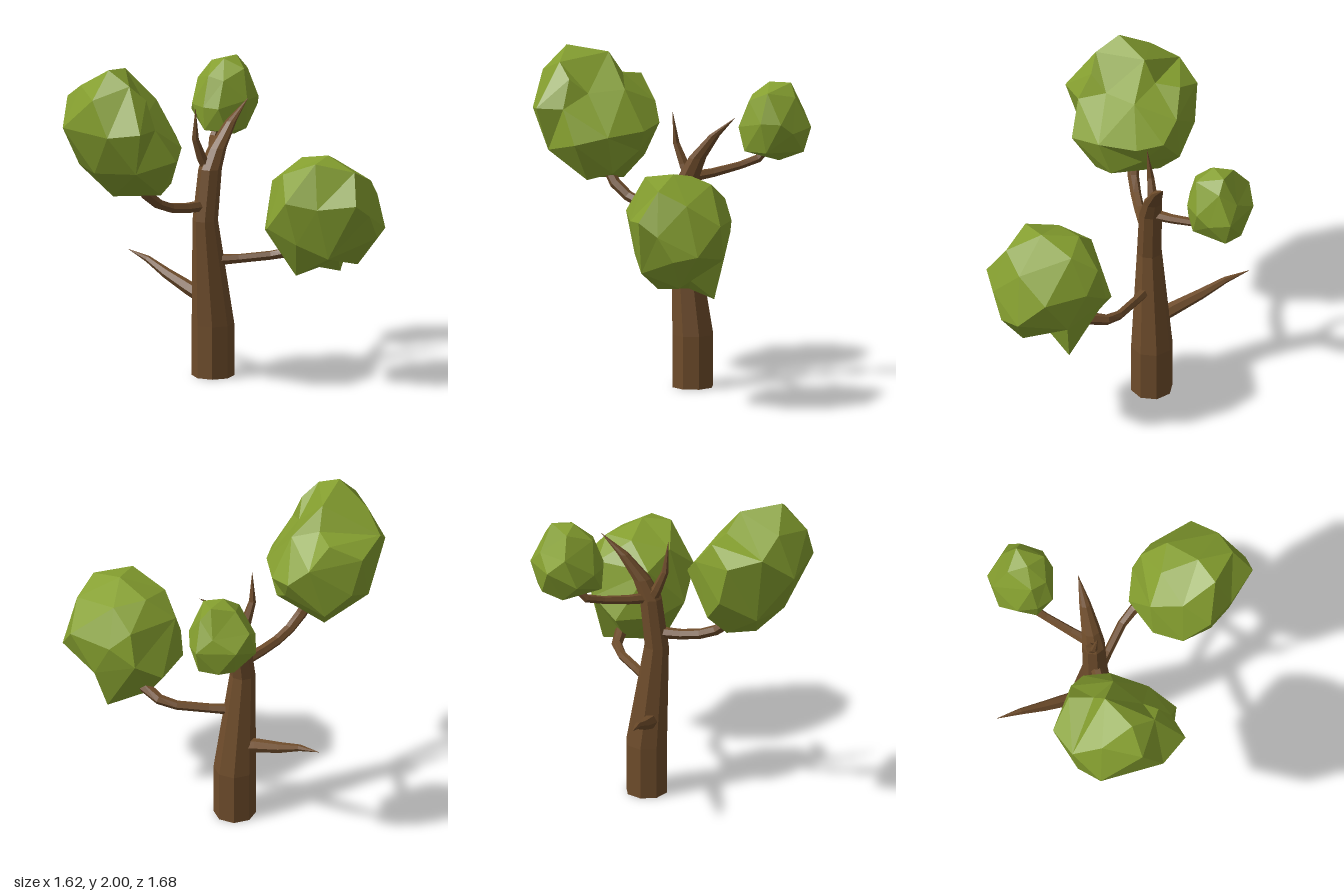
import * as THREE from 'three';
import { ConvexGeometry } from 'three/addons/geometries/ConvexGeometry.js';

const bark = new THREE.MeshStandardMaterial({ color: 0x6e4c2b, flatShading: true });
const leaf = new THREE.MeshStandardMaterial({ color: 0x859f2f, flatShading: true });

// Tapered limb through stations [x, y, z, radius]; level keeps every ring horizontal
function limb(name, stations, sides, level = false) {
  const centres = stations.map(([x, y, z]) => new THREE.Vector3(x, y, z));
  const last = centres.length - 1;
  const dir = centres[last].clone().sub(centres[0]).normalize();
  const ref = Math.abs(dir.y) > 0.8 ? new THREE.Vector3(0, 0, 1) : new THREE.Vector3(0, 1, 0);
  const pos = [], index = [];
  centres.forEach((c, i) => {
    const t = level ? new THREE.Vector3(0, 1, 0)
      : centres[Math.min(i + 1, last)].clone().sub(centres[Math.max(i - 1, 0)]).normalize();
    const n = new THREE.Vector3().crossVectors(ref, t).normalize();
    const b = new THREE.Vector3().crossVectors(t, n);
    for (let j = 0; j < sides; j++) {
      const a = (j / sides) * Math.PI * 2;
      const p = c.clone().addScaledVector(n, Math.cos(a) * stations[i][3])
        .addScaledVector(b, Math.sin(a) * stations[i][3]);
      pos.push(p.x, p.y, p.z);
    }
  });
  for (let i = 0; i < last; i++) {
    for (let j = 0; j < sides; j++) {
      const k = (j + 1) % sides, a = i * sides, b = a + sides;
      index.push(a + j, a + k, b + k, a + j, b + k, b + j);
    }
  }
  // End caps
  for (let j = 1; j < sides - 1; j++) {
    const e = last * sides;
    index.push(0, j + 1, j, e, e + j, e + j + 1);
  }
  const g = new THREE.BufferGeometry();
  g.setAttribute('position', new THREE.Float32BufferAttribute(pos, 3));
  g.setIndex(index);
  const flat = g.toNonIndexed();
  flat.computeVertexNormals();
  const mesh = new THREE.Mesh(flat, bark);
  mesh.name = name;
  return mesh;
}

// Faceted leaf clump: corners are joined as seen from the centre, so dents are kept
function clump(name, centre, corners) {
  const c = new THREE.Vector3(...centre);
  const points = corners.map((p) => new THREE.Vector3(...p));
  const dirs = points.map((p) => p.clone().sub(c).normalize());
  const g = new ConvexGeometry(dirs);
  const pos = g.attributes.position, v = new THREE.Vector3();
  for (let i = 0; i < pos.count; i++) {
    v.fromBufferAttribute(pos, i);
    let best = 0;
    dirs.forEach((d, k) => { if (d.distanceToSquared(v) < dirs[best].distanceToSquared(v)) best = k; });
    pos.setXYZ(i, points[best].x, points[best].y, points[best].z);
  }
  g.computeVertexNormals();
  const mesh = new THREE.Mesh(g, leaf);
  mesh.name = name;
  return mesh;
}

export function createModel() {
  const tree = new THREE.Group();
  tree.name = 'tree';

  // Trunk, bending to a pointed top
  tree.add(limb('trunk', [
    [0.187, 0, -0.217, 0.127], [0.187, 0.32, -0.217, 0.127], [0.124, 0.96, -0.217, 0.076],
    [0.162, 1.27, -0.215, 0.07], [0.22, 1.39, -0.215, 0.056], [0.335, 1.535, -0.217, 0.034],
    [0.47, 1.65, -0.217, 0.001],
  ], 8, true));

  // Bare twigs
  tree.add(limb('upperTwig', [
    [0.16, 1.26, -0.23, 0.04], [0.115, 1.34, -0.24, 0.032], [0.065, 1.46, -0.24, 0.022],
    [0.05, 1.65, -0.222, 0.001],
  ], 6));
  tree.add(limb('backTwig', [
    [0.145, 0.48, -0.26, 0.045], [0.13, 0.515, -0.36, 0.042], [0.11, 0.58, -0.54, 0.032],
    [0.095, 0.645, -0.69, 0.02], [0.08, 0.68, -0.84, 0.001],
  ], 6));

  // Branches that carry leaves
  tree.add(limb('rightBranch', [
    [0.12, 1.048, -0.22, 0.036], [-0.03, 1.055, -0.22, 0.032], [-0.15, 1.075, -0.222, 0.031],
    [-0.25, 1.115, -0.225, 0.032], [-0.34, 1.185, -0.23, 0.034], [-0.42, 1.3, -0.25, 0.03],
  ], 6));
  tree.add(limb('frontBranch', [
    [0.16, 0.71, -0.2, 0.036], [0.28, 0.72, -0.09, 0.028], [0.42, 0.74, 0.04, 0.028],
    [0.48, 0.765, 0.13, 0.032], [0.49, 0.81, 0.27, 0.04], [0.49, 0.88, 0.36, 0.035],
  ], 6));
  tree.add(limb('leftBranch', [
    [0.18, 1.27, -0.23, 0.034], [0.27, 1.285, -0.32, 0.028], [0.39, 1.32, -0.44, 0.024],
    [0.47, 1.355, -0.52, 0.026], [0.55, 1.45, -0.55, 0.02],
  ], 6));

  // Leaf clumps
  tree.add(clump('rightLeaves', [-0.46, 1.57, -0.26], [
    [-0.66, 2.0, -0.22], [-0.43, 1.96, -0.32], [-0.63, 1.92, -0.07], [-0.27, 1.76, -0.22],
    [-0.31, 1.81, -0.51], [-0.45, 1.72, -0.65], [-0.39, 1.48, -0.62], [-0.11, 1.55, -0.36],
    [-0.13, 1.52, -0.2], [-0.27, 1.5, 0], [-0.43, 1.46, 0.125], [-0.7, 1.66, 0.1],
    [-0.81, 1.63, -0.07], [-0.81, 1.84, -0.2], [-0.81, 1.63, -0.46], [-0.65, 1.78, -0.59],
    [-0.7, 1.36, -0.3], [-0.53, 1.19, -0.32], [-0.37, 1.19, -0.4], [-0.28, 1.27, -0.08],
    [-0.42, 1.23, -0.02], [-0.19, 1.39, -0.25], [-0.6, 1.36, -0.54], [-0.28, 1.32, -0.5],
    [-0.66, 1.4, 0.02], [-0.45, 1.74, -0.09], [-0.7, 1.88, -0.42], [-0.54, 1.83, -0.02],
    [-0.54, 1.66, 0.06], [-0.36, 1.83, -0.37], [-0.19, 1.66, -0.46],
  ]));
  tree.add(clump('frontLeaves', [0.45, 1.07, 0.46], [
    [0.44, 1.43, 0.52], [0.28, 1.41, 0.58], [0.45, 1.36, 0.74], [0.37, 1.18, 0.84],
    [0.49, 1.1, 0.83], [0.44, 1.38, 0.29], [0.62, 1.36, 0.38], [0.62, 1.28, 0.7],
    [0.785, 1.15, 0.58], [0.71, 0.98, 0.73], [0.58, 0.95, 0.8], [0.48, 0.93, 0.1],
    [0.64, 1.04, 0.17], [0.72, 1.14, 0.31], [0.73, 0.92, 0.43], [0.65, 0.67, 0.4],
    [0.54, 0.79, 0.5], [0.55, 0.77, 0.66], [0.3, 0.84, 0.67], [0.28, 0.7, 0.41],
    [0.48, 0.72, 0.4], [0.22, 1.15, 0.66], [0.11, 1.18, 0.5], [0.12, 1.0, 0.33],
    [0.24, 0.95, 0.18], [0.3, 1.24, 0.18], [0.46, 0.76, 0.24], [0.18, 0.92, 0.52],
    [0.63, 1.25, 0.22], [0.22, 1.32, 0.36],
  ]));
  tree.add(clump('leftLeaves', [0.59, 1.59, -0.54], [
    [0.55, 1.83, -0.51], [0.68, 1.83, -0.54], [0.56, 1.8, -0.63], [0.73, 1.75, -0.5],
    [0.6, 1.78, -0.39], [0.54, 1.68, -0.73], [0.65, 1.58, -0.73], [0.73, 1.66, -0.61],
    [0.81, 1.57, -0.55], [0.75, 1.54, -0.43], [0.7, 1.6, -0.37], [0.58, 1.6, -0.34],
    [0.4, 1.56, -0.4], [0.37, 1.56, -0.5], [0.39, 1.56, -0.62], [0.43, 1.74, -0.52],
    [0.46, 1.72, -0.42], [0.77, 1.42, -0.53], [0.62, 1.36, -0.5], [0.38, 1.42, -0.5],
    [0.6, 1.42, -0.37], [0.58, 1.38, -0.64], [0.47, 1.5, -0.71], [0.71, 1.42, -0.64],
    [0.45, 1.42, -0.38],
  ]));
  return tree;
}
